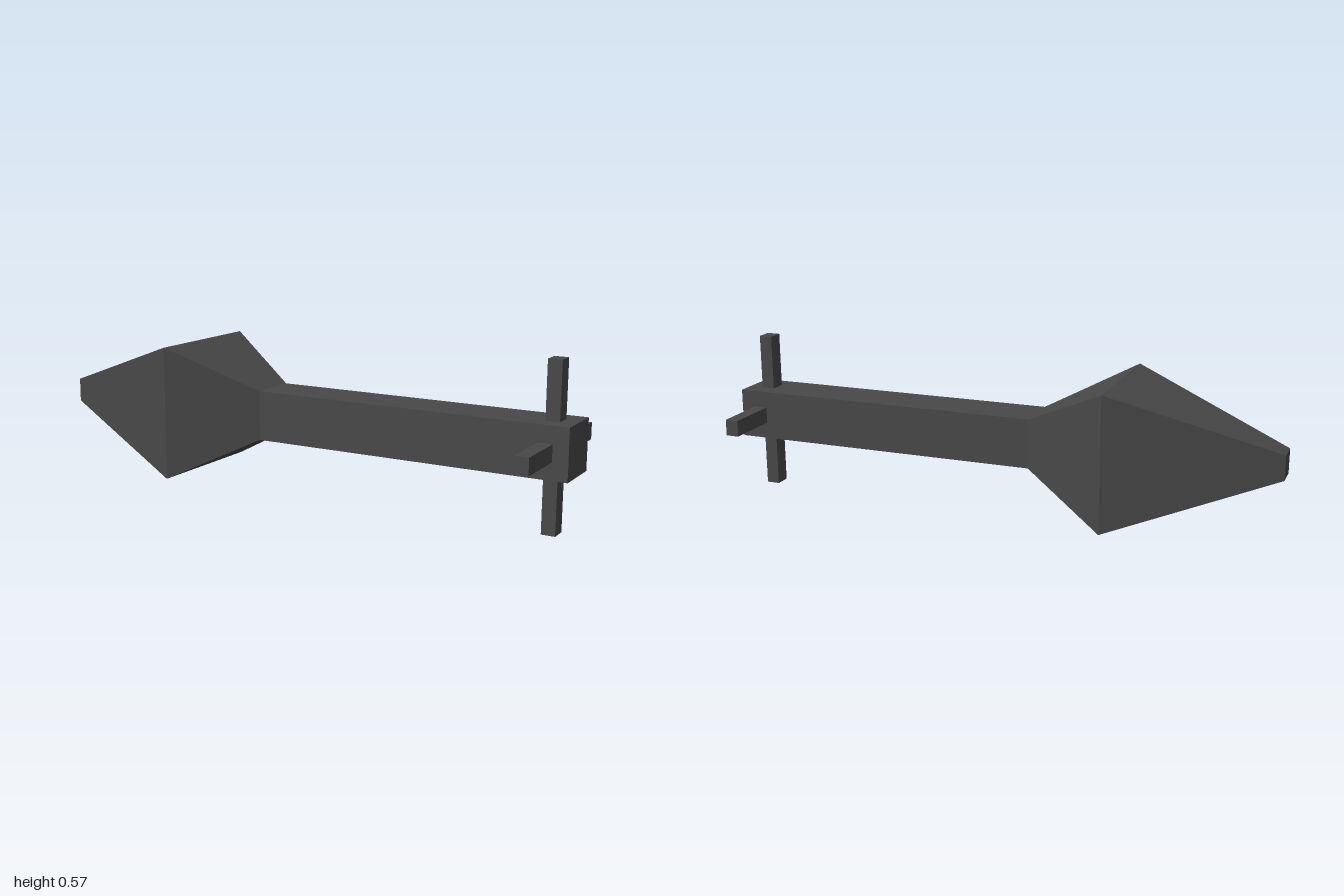
import * as THREE from 'three';

const AXIS_Y = 0.285;

// Square-section solid along x from [x, halfWidth] stations, capped at both ends
function squareLoft(stations) {
  const pts = stations.map(([x, half]) => new THREE.Vector2(half * Math.SQRT2, x));
  pts.unshift(new THREE.Vector2(0, stations[0][0]));
  pts.push(new THREE.Vector2(0, stations[stations.length - 1][0]));
  const geometry = new THREE.LatheGeometry(pts, 4);
  geometry.rotateY(Math.PI / 4);
  geometry.rotateZ(-Math.PI / 2);
  return geometry;
}

export function createModel() {
  const model = new THREE.Group();
  model.name = 'dart';
  const darkGrey = new THREE.MeshStandardMaterial({ color: 0x484848 });
  darkGrey.name = 'darkGrey';
  darkGrey.flatShading = true;

  const add = (name, geometry, x) => {
    const mesh = new THREE.Mesh(geometry, darkGrey);
    mesh.name = name;
    mesh.position.set(x, AXIS_Y, 0);
    model.add(mesh);
  };

  // Blunt-tipped head flowing into the straight shaft
  add('headAndShaft', squareLoft([
    [-1, 0.043], [-0.435, 0.238], [-0.133, 0.088], [1, 0.088],
  ]), 0);

  // Crossed fins through the tail
  add('verticalFin', new THREE.BoxGeometry(0.048, 0.57, 0.058), 0.923);
  add('horizontalFin', new THREE.BoxGeometry(0.048, 0.058, 0.57), 0.923);

  return model;
}
